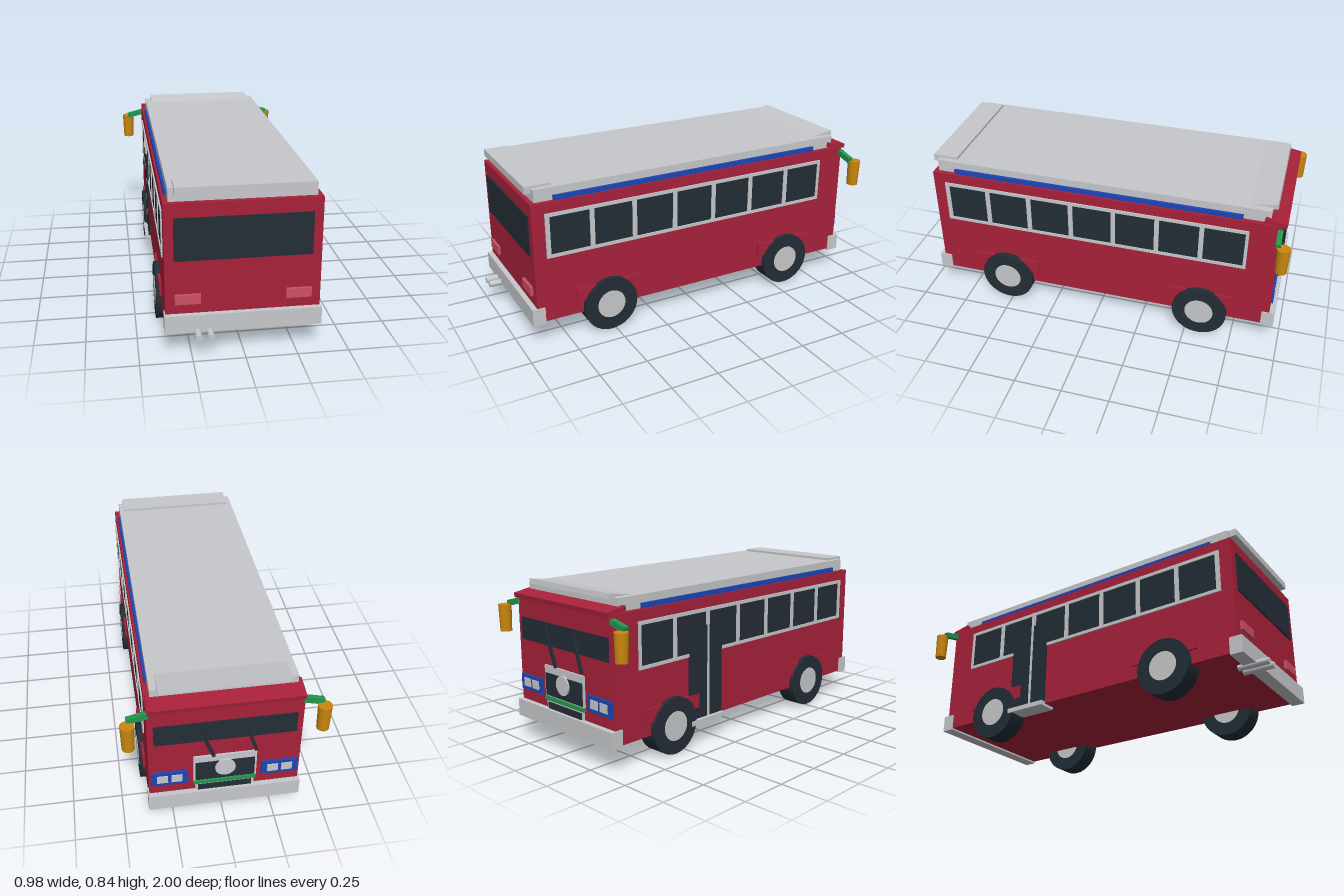
import * as THREE from 'three';

const mat = (name, color) => {
  const m = new THREE.MeshStandardMaterial({ color });
  m.name = name;
  return m;
};

export function createModel() {
  const red = mat('body red', 0xa8213a);
  const grey = mat('silver grey', 0xc6c8cb);
  const dark = mat('dark glass and rubber', 0x232d36);
  const blue = mat('trim blue', 0x1d45b5);
  const green = mat('arm green', 0x23964c);
  const orange = mat('mirror orange', 0xcb870f);
  const pink = mat('tail light red', 0xcc5062);

  const bus = new THREE.Group();
  bus.name = 'bus';

  const add = (name, geo, material, x = 0, y = 0, z = 0) => {
    const m = new THREE.Mesh(geo, material);
    m.name = name;
    m.position.set(x, y, z);
    bus.add(m);
    return m;
  };
  // Box given by its limits on each axis
  const box = (name, material, x0, x1, y0, y1, z0, z1) =>
    add(name, new THREE.BoxGeometry(x1 - x0, y1 - y0, z1 - z0), material,
      (x0 + x1) / 2, (y0 + y1) / 2, (z0 + z1) / 2);
  // Box on the side s (+1 or -1), with x limits given outwards
  const sideBox = (name, material, s, x0, x1, ...yz) =>
    box(name, material, Math.min(s * x0, s * x1), Math.max(s * x0, s * x1), ...yz);

  // Body shell, roof and bumpers
  box('body', red, -0.37, 0.37, 0.13, 0.76, -0.94, 0.91);
  box('roof', grey, -0.345, 0.345, 0.76, 0.825, -0.885, 0.885);
  box('rearRoofUnit', grey, -0.318, 0.318, 0.8, 0.838, 0.785, 0.92);
  const spoiler = box('roofSpoiler', grey, -0.31, 0.31, 0.808, 0.834, -0.91, -0.76);
  spoiler.rotation.x = 0.15;
  const visor = box('frontVisor', red, -0.366, 0.366, 0.758, 0.782, -0.967, -0.855);
  visor.rotation.x = -0.17;
  box('rearBumper', grey, -0.376, 0.376, 0.12, 0.21, 0.87, 0.937);
  box('frontBumper', grey, -0.376, 0.376, 0.12, 0.21, -0.967, -0.9);

  // Rear end
  box('rearWindow', dark, -0.325, 0.325, 0.48, 0.69, 0.909, 0.918);
  for (const s of [1, -1]) sideBox('tailLight', pink, s, 0.202, 0.325, 0.262, 0.31, 0.905, 0.925);
  for (const x of [-0.22, -0.162]) {
    add('exhaustPipe', new THREE.CylinderGeometry(0.017, 0.017, 0.16, 24), grey, x, 0.12, 0.92)
      .rotation.x = Math.PI / 2;
  }

  // Window frame with seven openings, drawn in the z-y plane
  const rect = (Type, z0, z1, y0, y1) => new Type([
    new THREE.Vector2(z0, y0), new THREE.Vector2(z1, y0),
    new THREE.Vector2(z1, y1), new THREE.Vector2(z0, y1)]);
  const frame = rect(THREE.Shape, -0.845, 0.79, 0.473, 0.706);
  for (let i = 0; i < 7; i++) {
    const z = -0.822 + i * 0.2315;
    frame.holes.push(rect(THREE.Path, z, z + 0.207, 0.49, 0.688));
  }
  const frameGeo = new THREE.ExtrudeGeometry(frame, { depth: 0.01, bevelEnabled: false });
  frameGeo.rotateY(Math.PI / 2); // shape x runs along -z, depth along +x

  for (const s of [1, -1]) {
    // The frame is nearly central, so the far side only shifts it inwards
    add('windowFrame', frameGeo, grey, s > 0 ? 0.367 : -0.377);
    sideBox('sideGlass', dark, s, 0.366, 0.372, 0.48, 0.7, -0.785, 0.84);
    sideBox('roofStrip', blue, s, 0.34, 0.358, 0.755, 0.785, -0.75, 0.79);

    // Wheels with arches
    for (const z of [0.52, -0.573]) {
      sideBox('wheelArch', red, s, 0.35, 0.382, 0.2, 0.273, z - 0.181, z + 0.181);
      add('tyre', new THREE.CylinderGeometry(0.146, 0.146, 0.105, 40), dark, s * 0.3425, 0.148, z)
        .rotation.z = Math.PI / 2;
      add('hub', new THREE.CylinderGeometry(0.076, 0.076, 0.11, 32), grey, s * 0.3425, 0.148, z)
        .rotation.z = Math.PI / 2;
    }

    // Hanging mirrors
    add('mirror', new THREE.CylinderGeometry(0.034, 0.03, 0.14, 28), orange, s * 0.458, 0.631, -0.966);
    add('mirrorArm', new THREE.BoxGeometry(0.1, 0.03, 0.026), green, s * 0.41, 0.717, -0.937)
      .rotation.z = -s * 0.25;

    // Headlight clusters
    sideBox('headlightPanel', blue, s, 0.18, 0.36, 0.268, 0.35, -0.951, -0.935);
    for (const x of [0.235, 0.305]) {
      sideBox('headlamp', grey, s, x - 0.027, x + 0.027, 0.288, 0.332, -0.956, -0.945);
    }
  }

  // Door on the right side
  box('doorLeafFront', dark, -0.381, -0.366, 0.14, 0.62, -0.46, -0.334);
  box('doorLeafRear', dark, -0.381, -0.366, 0.14, 0.62, -0.318, -0.225);
  box('doorPost', grey, -0.3815, -0.366, 0.14, 0.706, -0.334, -0.318);
  box('doorStep', grey, -0.4, -0.3, 0.115, 0.14, -0.46, -0.225);

  // Windscreen and wipers
  box('windscreen', dark, -0.34, 0.34, 0.535, 0.65, -0.948, -0.939);
  for (const [x0, y0, x1, y1] of [[0.056, 0.434, 0.133, 0.634], [-0.15, 0.445, -0.09, 0.63]]) {
    add('wiper', new THREE.BoxGeometry(0.016, Math.hypot(x1 - x0, y1 - y0), 0.012), dark,
      (x0 + x1) / 2, (y0 + y1) / 2, -0.953).rotation.z = -Math.atan2(x1 - x0, y1 - y0);
  }

  // Grille
  box('grilleFrame', grey, -0.155, 0.155, 0.275, 0.433, -0.949, -0.935);
  box('grille', dark, -0.145, 0.145, 0.28, 0.395, -0.953, -0.945);
  add('grilleDisc', new THREE.CylinderGeometry(0.05, 0.05, 0.012, 32), grey, 0, 0.355, -0.955)
    .rotation.x = Math.PI / 2;
  box('grilleStrip', green, -0.155, 0.155, 0.254, 0.272, -0.955, -0.935);
  box('lowerGrilleFrame', grey, -0.145, 0.145, 0.2, 0.252, -0.948, -0.935);
  box('lowerGrille', dark, -0.132, 0.132, 0.2, 0.244, -0.952, -0.94);

  return bus;
}
